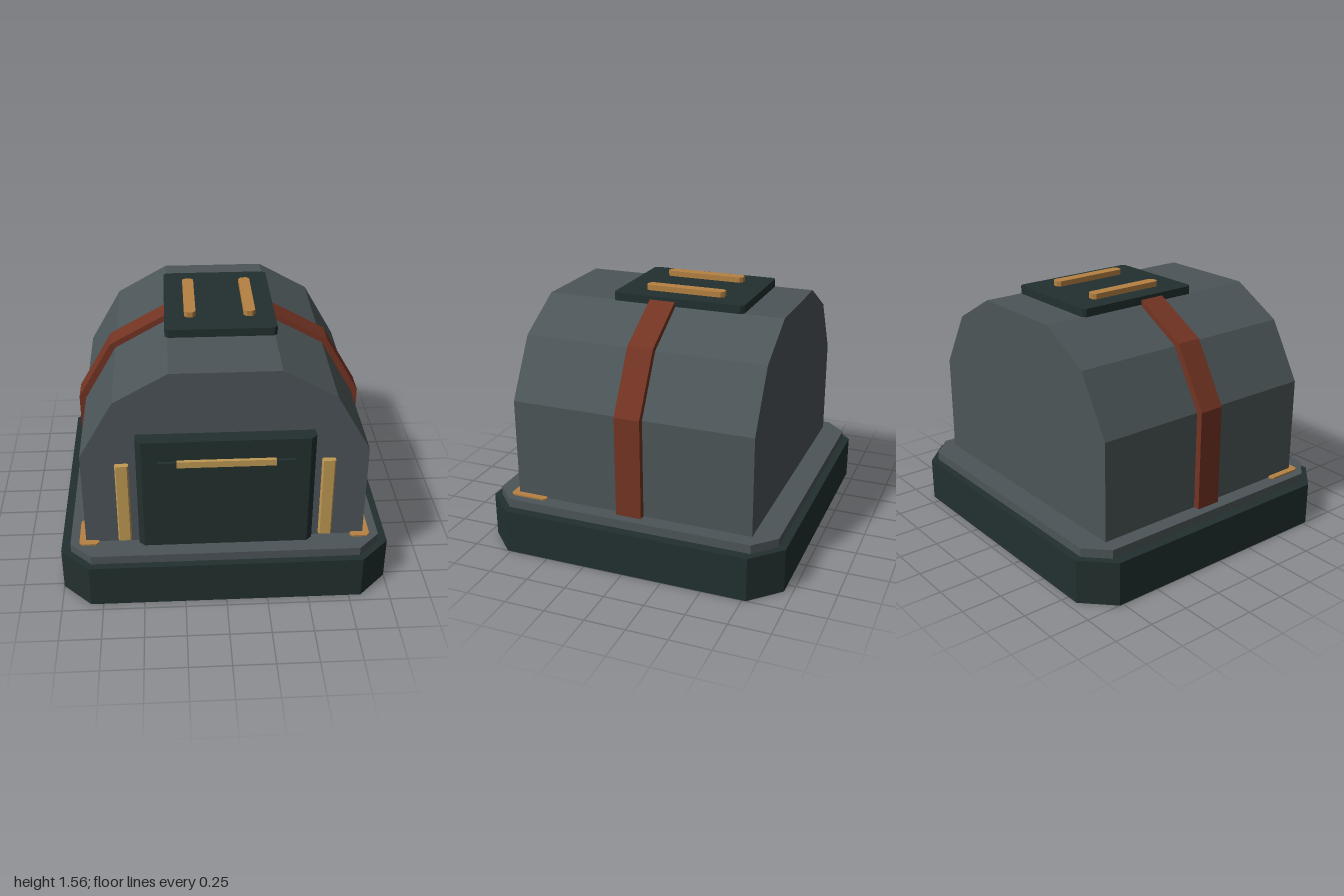
import * as THREE from 'three';

const material = (name, color) => {
  const m = new THREE.MeshStandardMaterial({ color });
  m.name = name;
  return m;
};

// Polygon outline, extruded along +z from z = 0
const extrude = (points, depth) => new THREE.ExtrudeGeometry(
  new THREE.Shape(points.map(([x, y]) => new THREE.Vector2(x, y))),
  { depth, bevelEnabled: false });

// Plan outline in (x, z), standing between two heights
const prism = (plan, y0, y1) =>
  extrude(plan.map(([x, z]) => [x, -z]), y1 - y0).rotateX(-Math.PI / 2).translate(0, y0, 0);

// Rectangular plan with cut corners
const cutRect = (x0, x1, z0, z1, c) => [
  [x0 + c, z0], [x1 - c, z0], [x1, z0 + c], [x1, z1 - c],
  [x1 - c, z1], [x0 + c, z1], [x0, z1 - c], [x0, z0 + c]];

const box = (x0, x1, y0, y1, z0, z1) =>
  new THREE.BoxGeometry(x1 - x0, y1 - y0, z1 - z0)
    .translate((x0 + x1) / 2, (y0 + y1) / 2, (z0 + z1) / 2);

// Complete a right-hand profile with its mirror image
const mirrored = (half) => [...half, ...half.map(([x, y]) => [-x, y]).reverse()];

export function createModel() {
  const group = new THREE.Group();
  group.name = 'shelter';
  const dark = material('darkGreen', 0x22302f);
  const grey = material('slateGrey', 0x4c5558);
  const rust = material('rust', 0x733423);
  const bronze = material('bronze', 0xb58142);
  const brass = material('brass', 0xc09a55);

  const add = (name, geometry, mat) => {
    const mesh = new THREE.Mesh(geometry, mat);
    mesh.name = name;
    group.add(mesh);
  };

  // Stepped base with cut corners
  add('base', prism(cutRect(-1, 1, -0.95, 0.95, 0.175), 0, 0.275), dark);
  add('plinth', prism(cutRect(-0.94, 0.94, -0.905, 0.905, 0.13), 0.275, 0.33), grey);

  // Faceted vaulted hall
  const wall = [[0.845, 0.33], [0.845, 0.945], [0.64, 1.3], [0.32, 1.48]];
  add('hall', extrude(mirrored(wall), 1.51).translate(0, 0, -0.755), grey);

  // Strap following the vault
  const outer = [[0.885, 0.33], [0.885, 0.957], [0.672, 1.322], [0.33, 1.512]];
  const strap = [...mirrored(outer), ...mirrored(wall).reverse()];
  add('strap', extrude(strap, 0.16).translate(0, 0, -0.08), rust);

  // Roof pad
  add('roofPad', prism(cutRect(-0.335, 0.335, -0.51, 0.32, 0.02), 1.48, 1.53), dark);

  // Doorway with angled front edges, door panel and handle
  add('doorFrame', prism([[-0.52, 0.75], [0.52, 0.75], [0.52, 0.815],
    [0.487, 0.848], [-0.487, 0.848], [-0.52, 0.815]], 0.36, 1.09), dark);
  add('door', box(-0.395, 0.395, 0.435, 0.96, 0.84, 0.868), dark);
  add('doorHandle', box(-0.285, 0.285, 0.94, 0.98, 0.866, 0.888), brass);

  // Paired details
  for (const [side, s] of [['left', 1], ['right', -1]]) {
    const span = (a, b) => (s > 0 ? [a, b] : [-b, -a]);
    add(side + 'PadRail', prism(cutRect(...span(0.145, 0.215), -0.345, 0.155, 0.018), 1.53, 1.563), bronze);
    add(side + 'DoorLight', prism(cutRect(...span(0.565, 0.645), 0.765, 0.8, 0.008), 0.365, 0.9), brass);

    // Corner bracket lying on the plinth
    const bracket = [[0.84, 0.573], [0.855, 0.555], [0.87, 0.555], [0.885, 0.573],
      [0.885, 0.775], [0.867, 0.795], [0.782, 0.795], [0.765, 0.778],
      [0.765, 0.765], [0.78, 0.75], [0.84, 0.75]];
    add(side + 'CornerBracket', prism(bracket.map(([x, z]) => [s * x, z]), 0.33, 0.34), bronze);
  }
  return group;
}
